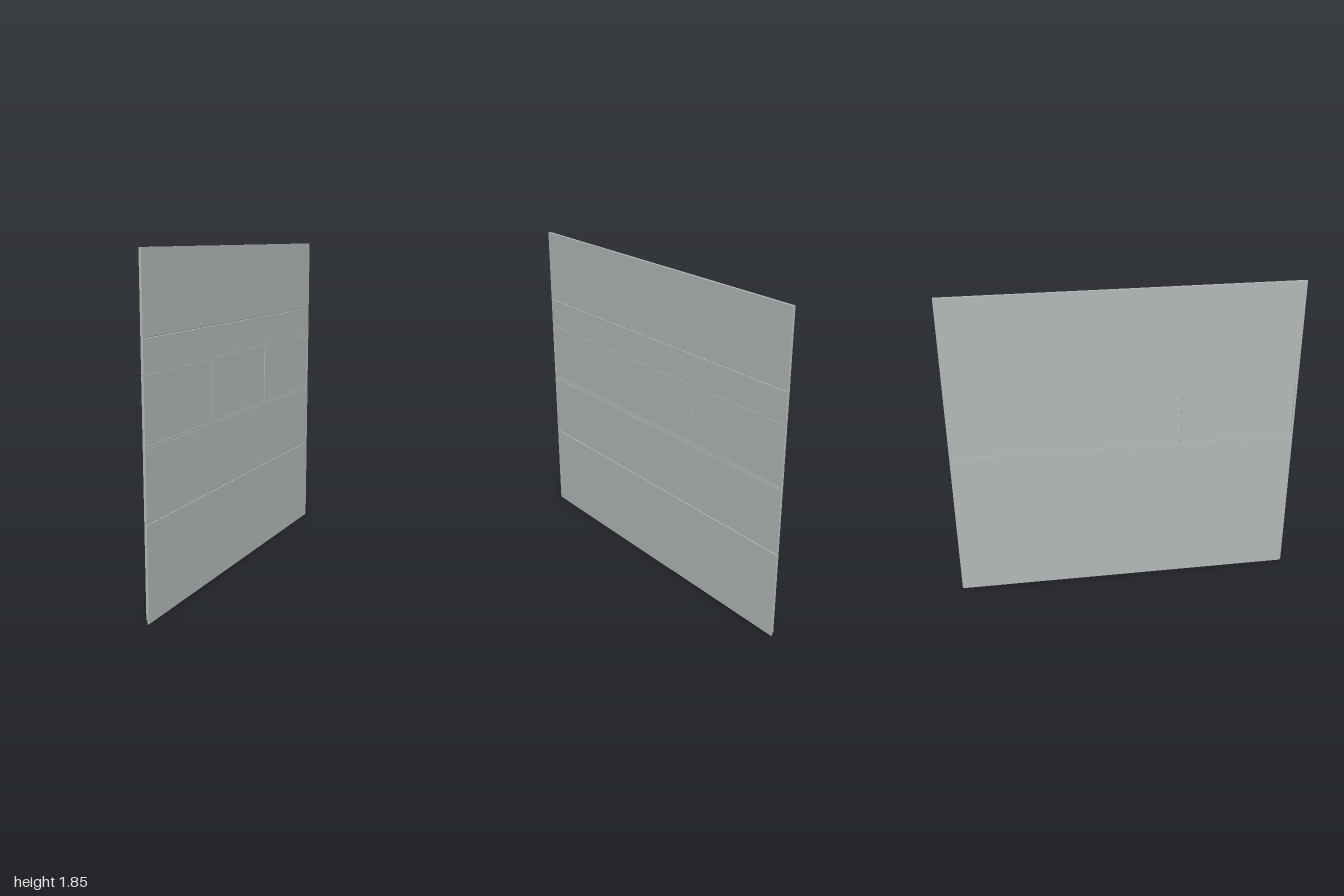
import * as THREE from 'three';

const T = 0.007;   // half thickness of the door leaf
const G = 0.003;   // groove depth and half height

export function createModel() {
  const door = new THREE.Group();
  door.name = 'sectionalDoor';
  const panelGrey = new THREE.MeshStandardMaterial({ color: 0xb4b8b8 });
  panelGrey.name = 'panelGrey';

  const add = (geometry, name) => {
    const mesh = new THREE.Mesh(geometry, panelGrey);
    mesh.name = name;
    door.add(mesh);
    return mesh;
  };
  const box = (name, w, h, d, x, y, z) =>
    add(new THREE.BoxGeometry(w, h, d), name).position.set(x, y, z);

  // Panel with a V groove across its outer face at the given height
  const groovedPanel = (name, y0, y1, seam) => {
    const profile = new THREE.Shape([
      [-T, y0], [T, y0], [T, seam - G], [T - G, seam], [T, seam + G], [T, y1], [-T, y1],
    ].map(([x, y]) => new THREE.Vector2(x, y)));
    const geo = new THREE.ExtrudeGeometry(profile, { depth: 2, bevelEnabled: false });
    geo.translate(0, 0, -1);
    add(geo, name);
  };
  groovedPanel('lowerPanel', 0.02, 0.888, 0.515);
  groovedPanel('upperPanel', 1.252, 1.845, 1.425);

  // Narrow recessed joints above and below the window section
  for (const y of [0.89, 1.25]) box('sectionJoint', 2 * (T - G), 0.006, 2, 0, y, 0);

  // Window section with three openings
  const frame = new THREE.Shape([[-1, 0.892], [1, 0.892], [1, 1.248], [-1, 1.248]]
    .map(([z, y]) => new THREE.Vector2(z, y)));
  for (const c of [-0.661, 0, 0.661]) {
    const [a, b] = [c - 0.326, c + 0.326];
    frame.holes.push(new THREE.Path([[a, 0.905], [a, 1.236], [b, 1.236], [b, 0.905]]
      .map(([z, y]) => new THREE.Vector2(z, y))));
    // Pane set back from both faces
    box('windowPane', 0.006, 0.335, 0.656, 0, 1.0705, c);
  }
  const frameGeo = new THREE.ExtrudeGeometry(frame, { depth: 2 * T, bevelEnabled: false });
  frameGeo.translate(0, 0, -T).rotateY(Math.PI / 2);
  add(frameGeo, 'windowFrame');

  // Bottom seal under the outer half of the leaf
  box('bottomSeal', 0.007, 0.022, 2, 0.0035, 0.011, 0);

  return door;
}
